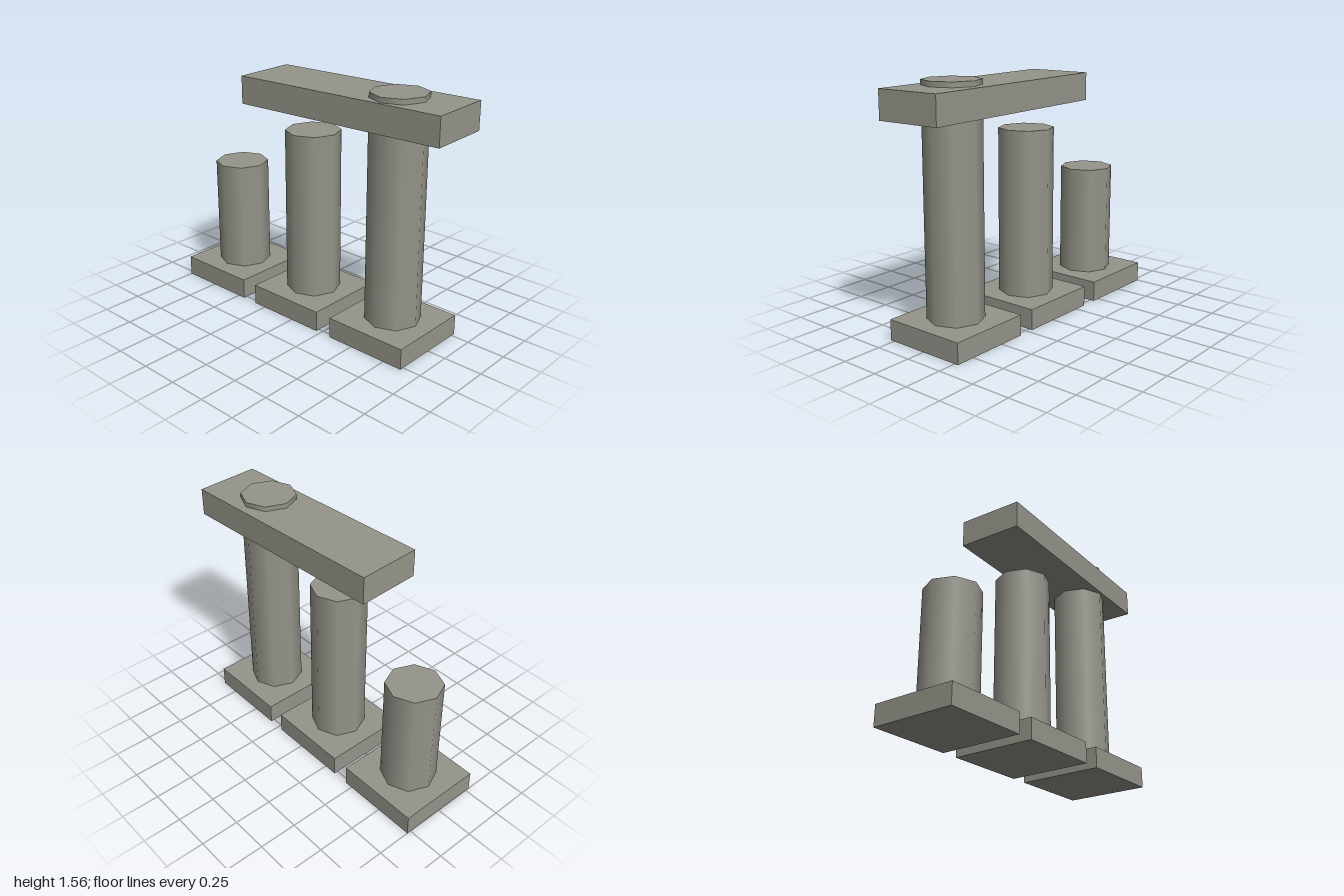
import * as THREE from 'three';

export function createModel() {
  const group = new THREE.Group();
  const stone = new THREE.MeshStandardMaterial({ color: 0x96958b });
  stone.name = 'stone grey';

  function add(name, geometry, x, y, z = 0) {
    const mesh = new THREE.Mesh(geometry, stone);
    mesh.name = name;
    mesh.position.set(x, y, z);
    group.add(mesh);
    return mesh;
  }

  // Three square plinths, each carrying a smooth eight-sided column
  const plinthSize = 0.553, plinthHeight = 0.133, radius = 0.176;
  const columns = [
    ['short', -0.7235, 0.855],
    ['middle', -0.061, 1.206],
    ['tall', 0.602, 1.561],
  ];
  for (const [name, x, top] of columns) {
    add(name + 'Plinth', new THREE.BoxGeometry(plinthSize, plinthHeight, plinthSize), x, plinthHeight / 2);
    const height = top - plinthHeight;
    add(name + 'Column', new THREE.CylinderGeometry(radius, radius, height, 8), x, plinthHeight + height / 2);
  }

  // Lintel pierced by the tall column, slightly turned
  const lintel = add('lintel', new THREE.BoxGeometry(1.437, 0.177, 0.419), 0.27, 1.4405, -0.002);
  lintel.rotation.y = 0.051;

  return group;
}
